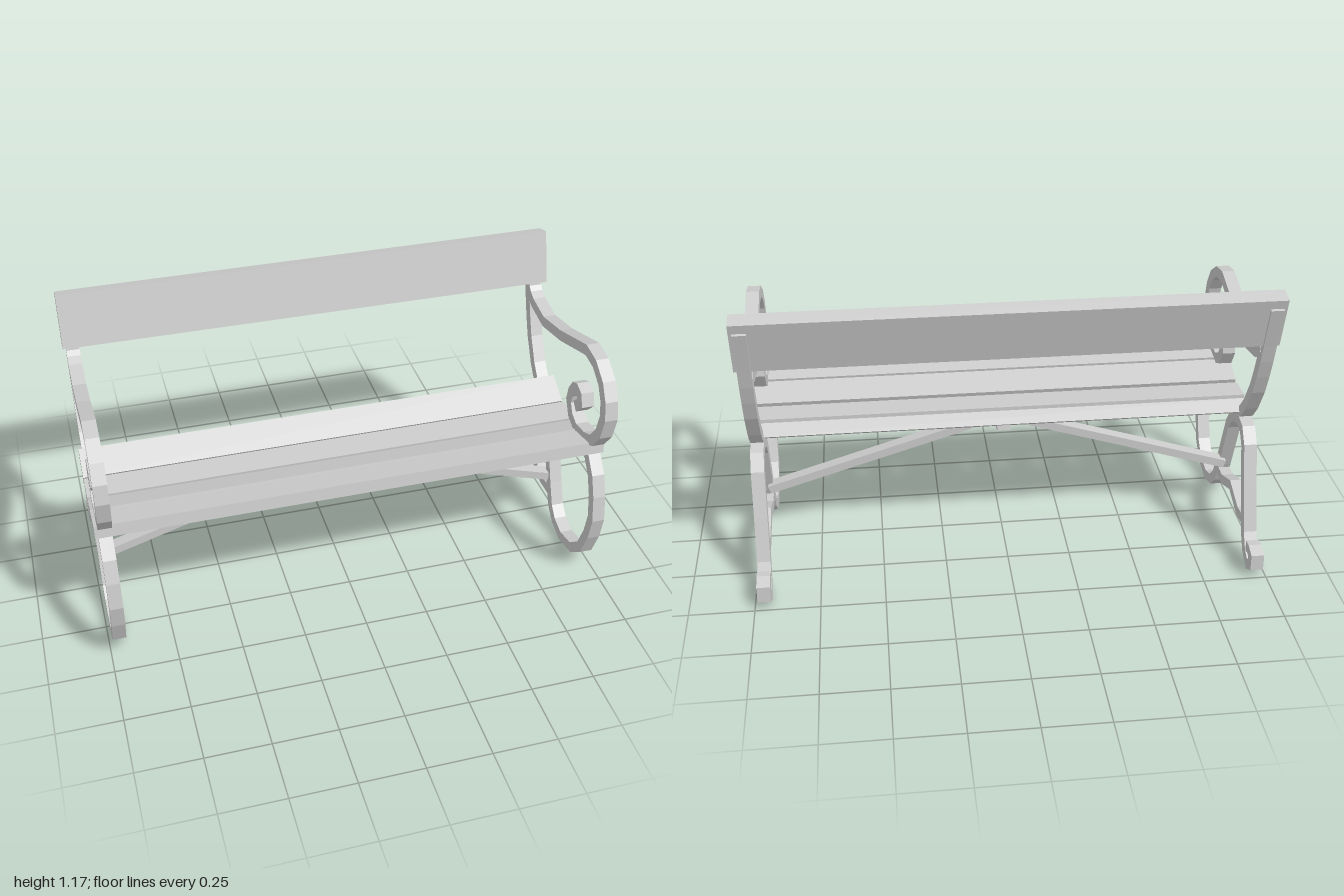
import * as THREE from 'three';

// Flat bar following a polyline: mitred outline of the given width, extruded by depth (centred).
function bar(path, width, depth) {
  const p = path.map(([a, b]) => new THREE.Vector2(a, b));
  const left = [], right = [];
  p.forEach((c, i) => {
    const before = c.clone().sub(p[Math.max(i - 1, 0)]).normalize();
    const after = p[Math.min(i + 1, p.length - 1)].clone().sub(c).normalize();
    const dir = before.clone().add(after).normalize();
    const seg = i === 0 ? after : before;
    const reach = width / 2 / Math.max(dir.dot(seg), 0.6);
    const n = new THREE.Vector2(-dir.y, dir.x).multiplyScalar(reach);
    left.push(c.clone().add(n));
    right.push(c.clone().sub(n));
  });
  const shape = new THREE.Shape([...left, ...right.reverse()]);
  const geo = new THREE.ExtrudeGeometry(shape, { depth, bevelEnabled: false });
  return geo.translate(0, 0, -depth / 2);
}

// Bar whose path is given as [z, y]
const sideBar = (path, width, depth) => bar(path, width, depth).rotateY(-Math.PI / 2);

const ARM = [
  [-0.33, 0.93], [-0.31, 0.91], [-0.27, 0.89], [-0.15, 0.868], [0.02, 0.902], [0.25, 0.975],
  [0.33, 0.962], [0.4, 0.915], [0.437, 0.855], [0.452, 0.79], [0.433, 0.705], [0.386, 0.64],
  [0.33, 0.615], [0.246, 0.603], [0.19, 0.629], [0.16, 0.68], [0.168, 0.725], [0.19, 0.762],
  [0.213, 0.772], [0.243, 0.76], [0.255, 0.728], [0.218, 0.69],
];
const POST = [
  [-0.39, 1.125], [-0.345, 0.96], [-0.325, 0.885], [-0.3, 0.81], [-0.268, 0.728],
  [-0.21, 0.628], [-0.16, 0.57], [-0.09, 0.522], [-0.01, 0.503], [0.06, 0.505],
  [0.13, 0.515], [0.345, 0.575],
];
const LEGS = [
  [0.33, 0.565], [0.37, 0.55], [0.42, 0.49], [0.452, 0.41], [0.47, 0.31], [0.452, 0.215],
  [0.41, 0.11], [0.34, 0.05], [0.237, 0.028], [0.16, 0.053], [0.112, 0.1], [0.07, 0.2],
  [-0.012, 0.43], [-0.05, 0.485], [-0.1, 0.512], [-0.15, 0.522], [-0.2, 0.51], [-0.24, 0.46],
  [-0.293, 0.29], [-0.345, 0.12], [-0.385, 0.055], [-0.436, 0.025], [-0.47, 0.045],
  [-0.468, 0.083], [-0.436, 0.095], [-0.405, 0.093],
];
const BRACE = [[0.08, 0.153], [-0.005, 0.153], [-0.12, 0.198], [-0.246, 0.152], [-0.315, 0.16]];
const CENTRE_RAIL = [[0.3, 0.55], [0.13, 0.515], [0.06, 0.505], [-0.01, 0.503], [-0.09, 0.522]];
const STRUTS = [
  [-0.95, 0.215], [-0.1, 0.478], [-0.06, 0.488], [0.06, 0.488], [0.1, 0.478], [0.95, 0.215],
];

export function createModel() {
  const bench = new THREE.Group();
  bench.name = 'bench';
  const grey = new THREE.MeshStandardMaterial({ color: 0xcccccc });
  grey.name = 'light grey';

  const add = (parent, name, geo) => {
    const mesh = new THREE.Mesh(geo, grey);
    mesh.name = name;
    parent.add(mesh);
    return mesh;
  };

  // Scrolled end frames
  for (const side of [-1, 1]) {
    const frame = new THREE.Group();
    frame.name = side > 0 ? 'leftFrame' : 'rightFrame';
    frame.position.x = side * 0.962;
    add(frame, 'armrest', sideBar(ARM, 0.044, 0.052));
    add(frame, 'backPost', sideBar(POST, 0.042, 0.05));
    add(frame, 'legs', sideBar(LEGS, 0.042, 0.051));
    add(frame, 'legBrace', sideBar(BRACE, 0.04, 0.048));
    bench.add(frame);
  }

  // Planks: y, z, height, depth, tilt about x
  const planks = [
    ['frontSlat', 0.583, 0.322, 0.05, 0.118, -0.18],
    ['secondSlat', 0.552, 0.196, 0.05, 0.122, -0.33],
    ['thirdSlat', 0.527, 0.055, 0.052, 0.115, 0.03],
    ['rearSlat', 0.553, -0.087, 0.055, 0.122, 0.55],
    ['backrest', 1.063, -0.35, 0.214, 0.065, -0.26],
  ];
  for (const [name, y, z, h, d, tilt] of planks) {
    const plank = add(bench, name, new THREE.BoxGeometry(2, h, d));
    plank.position.set(0, y, z);
    plank.rotation.x = tilt;
  }

  // Support under the middle of the seat, held by diagonal struts
  add(bench, 'centreRail', sideBar(CENTRE_RAIL, 0.04, 0.052));
  add(bench, 'diagonalStruts', bar(STRUTS, 0.034, 0.05)).position.z = 0.04;

  return bench;
}
